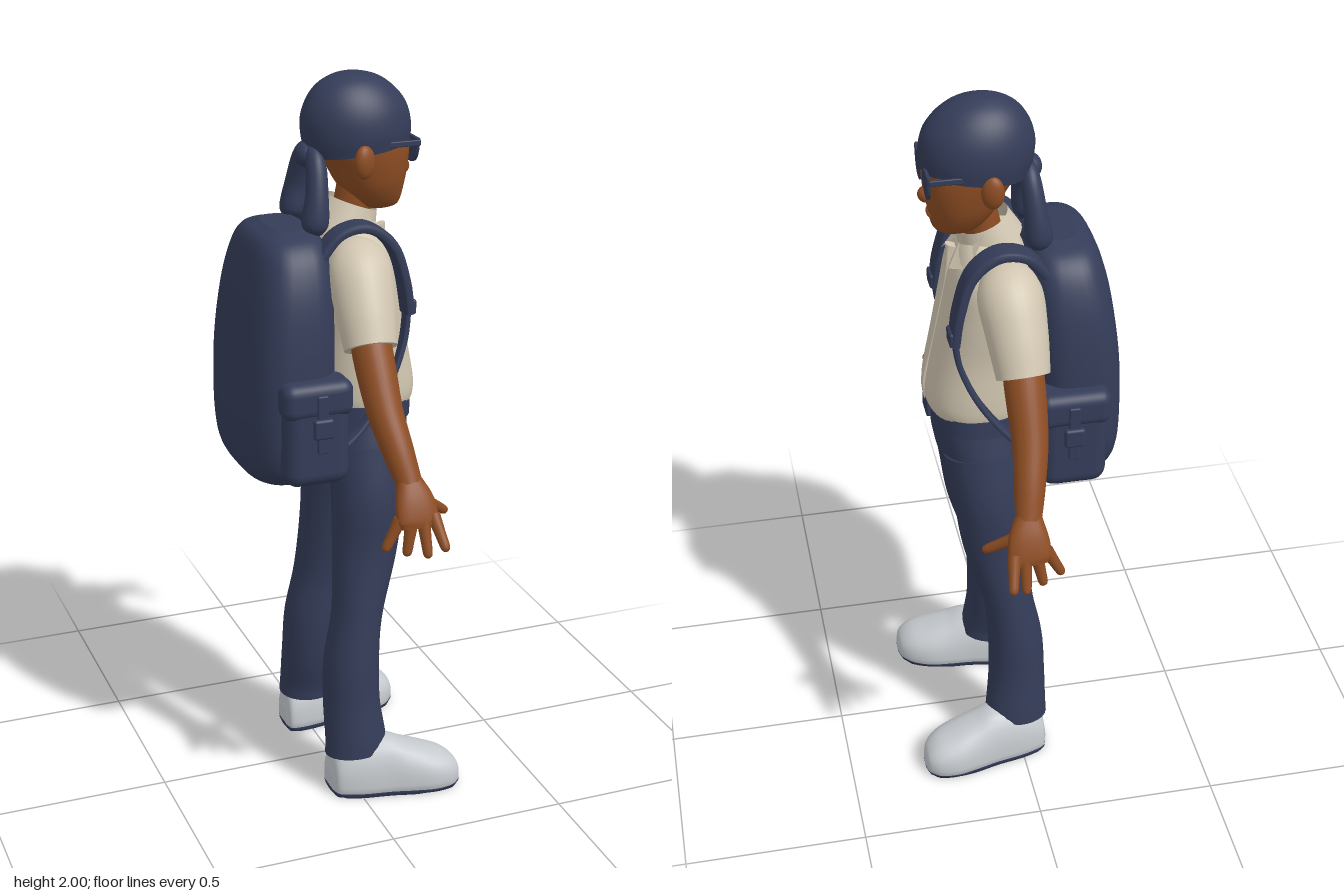
import * as THREE from 'three';
import { RoundedBoxGeometry } from 'three/addons/geometries/RoundedBoxGeometry.js';

const paint = (name, color, side = THREE.FrontSide) => {
  const m = new THREE.MeshStandardMaterial({ color, side });
  m.name = name;
  return m;
};
const X = new THREE.Vector3(1, 0, 0), Y = new THREE.Vector3(0, 1, 0), Z = new THREE.Vector3(0, 0, 1);

// Smooth body through sections [x, y, z, a, b]; a runs along ref, b across it.
// dir fixes the ring direction, pow squares the rings, lo and hi flatten in y.
function loft(rows, { ref = X, dir = null, pow = 2, n = 28, sub = 6, lo = -9, hi = 9 } = {}) {
  const path = new THREE.CatmullRomCurve3(rows.map(r => new THREE.Vector3(r[0], r[1], r[2])), false, 'catmullrom');
  const size = new THREE.CatmullRomCurve3(rows.map(r => new THREE.Vector3(r[3], r[4], 0)), false, 'catmullrom');
  const pos = [], idx = [], steps = (rows.length - 1) * sub;
  const bend = v => Math.sign(v) * Math.pow(Math.abs(v), 2 / pow);
  for (let i = 0; i <= steps; i++) {
    const t = i / steps, c = path.getPoint(t), r = size.getPoint(t);
    const T = dir || path.getTangent(t);
    const A = ref.clone().addScaledVector(T, -ref.dot(T)).normalize();
    const B = new THREE.Vector3().crossVectors(T, A);
    for (let j = 0; j < n; j++) {
      const q = (j / n) * Math.PI * 2;
      const p = c.clone().addScaledVector(A, bend(Math.cos(q)) * Math.max(r.x, 0.001))
        .addScaledVector(B, bend(Math.sin(q)) * Math.max(r.y, 0.001));
      pos.push(p.x, Math.min(hi, Math.max(lo, p.y)), p.z);
      if (i < steps) {
        const a = i * n + j, b = i * n + (j + 1) % n;
        idx.push(a, b, b + n, a, b + n, a + n);
      }
    }
  }
  // flat end caps with their own corners
  for (const end of [0, steps]) {
    const base = pos.length / 3, from = end * n * 3;
    pos.push(...pos.slice(from, from + n * 3));
    for (let j = 1; j < n - 1; j++) idx.push(base, ...(end ? [base + j, base + j + 1] : [base + j + 1, base + j]));
  }
  const g = new THREE.BufferGeometry();
  g.setAttribute('position', new THREE.Float32BufferAttribute(pos, 3));
  g.setIndex(idx);
  g.computeVertexNormals();
  return g;
}

// Sections stacked along y, given as [y, x, depth, width]
const stack = (rows, opt) => loft(rows.map(([y, x, a, b]) => [x, y, 0, a, b]), { dir: Y, n: 40, ...opt });

export function createModel() {
  const group = new THREE.Group();
  group.name = 'backpacker';
  const navy = paint('navy cloth', 0x343c58);
  const skin = paint('brown skin', 0x8d4d23);
  const cream = paint('cream shirt', 0xd0c5b0, THREE.DoubleSide);
  const white = paint('pale shoe', 0xc6cace);

  const add = (name, geo, mat, p = [0, 0, 0], rot = [0, 0, 0], scale = [1, 1, 1]) => {
    const m = new THREE.Mesh(geo, mat);
    m.name = name;
    m.position.set(...p);
    m.rotation.set(...rot);
    m.scale.set(...scale);
    group.add(m);
    return m;
  };
  const ball = new THREE.SphereGeometry(1, 24, 16);
  const box = (x, y, z, r = 0.01) => new RoundedBoxGeometry(x, y, z, 3, r);

  // Head, neck and cap
  add('head', stack([[1.635, 0.14, 0.03, 0.03], [1.65, 0.13, 0.062, 0.062], [1.7, 0.115, 0.088, 0.093],
    [1.76, 0.103, 0.11, 0.108], [1.82, 0.085, 0.132, 0.112], [1.88, 0.08, 0.125, 0.1]], { pow: 2.2 }), skin);
  add('neck', loft([[0.045, 1.53, 0, 0.055, 0.055], [0.06, 1.62, 0, 0.05, 0.05], [0.085, 1.72, 0, 0.055, 0.055]]), skin);
  add('nose', ball, skin, [0.205, 1.737, 0], [0, 0, 0], [0.022, 0.022, 0.021]);
  add('lips', ball, skin, [0.193, 1.685, 0], [0, 0, 0], [0.013, 0.011, 0.032]);
  add('cap', stack([[-0.025, 0, 0.142, 0.116], [0.02, 0, 0.148, 0.121], [0.07, -0.002, 0.143, 0.115],
    [0.115, -0.006, 0.12, 0.096], [0.15, -0.01, 0.085, 0.066], [0.17, -0.014, 0.04, 0.03], [0.174, -0.014, 0.005, 0.005]]),
  navy, [0.078, 1.827, 0], [0, 0, 0.12]);
  add('capKnot', ball, navy, [-0.062, 1.79, 0], [0, 0, 0], [0.032, 0.034, 0.04]);

  // Shirt
  add('shirt', stack([[1.1, 0.085, 0.122, 0.153], [1.13, 0.085, 0.138, 0.165], [1.18, 0.083, 0.14, 0.168],
    [1.3, 0.07, 0.13, 0.165], [1.42, 0.055, 0.12, 0.175], [1.52, 0.048, 0.107, 0.17],
    [1.58, 0.045, 0.088, 0.125], [1.62, 0.045, 0.065, 0.07]], { pow: 2.4 }), cream);
  add('collar', new THREE.CylinderGeometry(0.072, 0.088, 0.065, 28, 1, true), cream, [0.052, 1.625, 0], [0, 0, -0.35]);
  add('buttonBand', loft([[0.13, 1.58, 0, 0.03, 0.014], [0.157, 1.5, 0, 0.006, 0.014], [0.176, 1.4, 0, 0.006, 0.014],
    [0.201, 1.28, 0, 0.006, 0.014], [0.223, 1.18, 0, 0.006, 0.014], [0.219, 1.12, 0, 0.006, 0.014]], { n: 12, pow: 4 }), cream);

  // Trousers and belt
  add('hips', stack([[1.12, 0.082, 0.122, 0.158], [1.06, 0.082, 0.124, 0.175], [0.99, 0.077, 0.122, 0.192],
    [0.93, 0.07, 0.112, 0.19], [0.89, 0.068, 0.085, 0.13], [0.87, 0.068, 0.04, 0.06]].reverse(), { pow: 2.3 }), navy);
  add('belt', stack([[1.078, 0.082, 0.131, 0.173], [1.128, 0.083, 0.132, 0.169]], { pow: 2.4 }), navy);
  add('beltBuckle', box(0.016, 0.056, 0.07, 0.007), navy, [0.216, 1.103, 0]);

  // Backpack
  add('backpack', stack([[0.935, -0.15, 0.07, 0.14], [0.96, -0.16, 0.11, 0.2], [1.05, -0.165, 0.125, 0.238],
    [1.25, -0.16, 0.128, 0.245], [1.42, -0.15, 0.118, 0.232], [1.53, -0.14, 0.105, 0.2],
    [1.59, -0.135, 0.085, 0.155], [1.615, -0.13, 0.05, 0.09]], { pow: 3 }), navy);
  add('carryLoop', new THREE.TorusGeometry(0.04, 0.009, 8, 20, Math.PI), navy, [-0.065, 1.59, 0], [0, Math.PI / 2, 0]);

  for (const s of [1, -1]) {
    const side = s > 0 ? 'right' : 'left';
    const part = (name, ...rest) => add(side + name, ...rest);
    const flip = rows => rows.map(([x, y, z, a, b]) => [x, y, z * s, a, b ?? a]);
    const limb = (rows, opt) => loft(flip(rows), opt);

    // Ear, glasses and cap tail
    part('Ear', ball, skin, [0.055, 1.785, 0.116 * s], [0, 0.3 * s, 0], [0.03, 0.045, 0.02]);
    const lens = new THREE.Shape();
    lens.moveTo(-0.046, 0.034).lineTo(0.046, 0.034).quadraticCurveTo(0.05, -0.034, 0.012, -0.036)
      .quadraticCurveTo(-0.04, -0.04, -0.046, 0.034);
    part('Lens', new THREE.ExtrudeGeometry(lens, { depth: 0.008, bevelEnabled: false, curveSegments: 10 }), navy,
      [0.208, 1.797, 0.054 * s], [0, Math.PI / 2, 0]);
    part('GlassesArm', box(0.16, 0.016, 0.008, 0.003), navy, [0.134, 1.822, 0.107 * s]);
    part('CapTail', limb([[-0.055, 1.81, 0.01, 0.015, 0.02], [-0.055, 1.775, 0.05, 0.026, 0.03],
      [-0.062, 1.7, 0.078, 0.03, 0.032], [-0.07, 1.63, 0.085, 0.036, 0.036], [-0.073, 1.6, 0.085, 0.022, 0.02]]), navy);

    // Collar flap
    const flap = new THREE.BufferGeometry();
    const corners = [[0.12, 1.605, 0.012], [0.07, 1.645, 0.075], [0.115, 1.565, 0.105], [0.16, 1.545, 0.055]];
    flap.setAttribute('position', new THREE.Float32BufferAttribute(corners.flatMap(([x, y, z]) => [x, y, z * s]), 3));
    flap.setIndex(s > 0 ? [0, 2, 1, 0, 3, 2] : [0, 1, 2, 0, 2, 3]);
    flap.computeVertexNormals();
    part('CollarFlap', flap, cream);

    // Sleeve, arm and hand
    part('Sleeve', limb([[0.025, 1.545, 0.1, 0.06, 0.055], [0.022, 1.515, 0.165, 0.085, 0.078],
      [0.015, 1.43, 0.227, 0.08, 0.077], [0.01, 1.34, 0.28, 0.07, 0.068]]), cream);
    part('Arm', limb([[0.012, 1.42, 0.235, 0.052], [0.01, 1.31, 0.305, 0.053], [0.012, 1.2, 0.375, 0.047],
      [0.025, 1.11, 0.435, 0.041], [0.038, 1.035, 0.483, 0.034, 0.03]]), skin);
    part('Palm', limb([[0.036, 1.05, 0.473, 0.032, 0.028], [0.042, 1.0, 0.505, 0.052, 0.027],
      [0.043, 0.955, 0.528, 0.056, 0.022], [0.042, 0.935, 0.537, 0.045, 0.014]], { pow: 2.4 }), skin);
    // base and tip of each finger
    const fingers = [[-0.002, 0.96, 0.518, -0.045, 0.878, 0.52], [0.026, 0.955, 0.528, 0.008, 0.865, 0.54],
      [0.056, 0.955, 0.532, 0.058, 0.862, 0.565], [0.084, 0.965, 0.53, 0.098, 0.885, 0.59],
      [0.065, 1.0, 0.5, 0.152, 0.935, 0.456]];
    fingers.forEach(([x, y, z, u, v, w], i) => {
      const at = (t, r) => [x + (u - x) * t, y + (v - y) * t, z + (w - z) * t, r];
      part(i < 4 ? 'Finger' + (i + 1) : 'Thumb',
        limb([at(0, 0.018), at(0.5, 0.0145), at(0.9, 0.012), at(1, 0.004)], { n: 12, sub: 4, ref: i < 4 ? X : Y }), skin);
    });

    // Trouser leg
    part('Leg', limb([[0.078, 1.0, 0.095, 0.112, 0.095], [0.068, 0.85, 0.118, 0.1, 0.1], [0.055, 0.7, 0.13, 0.09, 0.086],
      [0.025, 0.52, 0.153, 0.07, 0.078], [0.006, 0.38, 0.162, 0.077, 0.084], [0.003, 0.26, 0.172, 0.08, 0.082],
      [0.008, 0.16, 0.19, 0.086, 0.077], [0.01, 0.115, 0.194, 0.09, 0.077]].reverse()), navy);

    // Shoe and sole, given as [x, top, half width]
    const shoe = [[-0.072, 0.06, 0.04], [-0.058, 0.12, 0.062], [0, 0.155, 0.074], [0.08, 0.162, 0.076], [0.14, 0.138, 0.082],
      [0.2, 0.115, 0.085], [0.25, 0.095, 0.072], [0.28, 0.07, 0.048], [0.29, 0.045, 0.02]]
      .map(([x, top, w]) => [x, 0.03, 0.195 + (x + 0.07) * 0.17, top - 0.03, w]);
    part('Shoe', limb(shoe, { ref: Y, dir: X, pow: 2.4, lo: 0.012 }), white);
    part('Sole', limb(shoe, { ref: Y, dir: X, pow: 2.4, lo: 0, hi: 0.0125 }), navy);

    // Shoulder strap, its lower webbing and buckle
    part('ShoulderStrap', limb([[-0.08, 1.55, 0.135, 0.034, 0.013], [-0.025, 1.61, 0.137, 0.034, 0.013],
      [0.05, 1.622, 0.14, 0.035, 0.014], [0.118, 1.57, 0.143, 0.036, 0.014], [0.152, 1.47, 0.147, 0.036, 0.014],
      [0.165, 1.38, 0.15, 0.032, 0.013]], { ref: Z, pow: 4, n: 20 }), navy);
    part('StrapWebbing', limb([[0.165, 1.4, 0.15, 0.018, 0.008], [0.15, 1.3, 0.157, 0.018, 0.008],
      [0.1, 1.19, 0.175, 0.018, 0.008], [0.02, 1.09, 0.197, 0.018, 0.008], [-0.06, 1.03, 0.21, 0.018, 0.008]],
    { ref: Z, pow: 4, n: 16 }), navy);
    part('StrapBuckle', box(0.022, 0.04, 0.056, 0.006), navy, [0.17, 1.4, 0.15 * s]);

    // Side pocket with flap, strap and buckle
    part('Pocket', box(0.18, 0.27, 0.1, 0.04), navy, [-0.13, 1.105, 0.235 * s]);
    part('PocketFlap', box(0.195, 0.1, 0.11, 0.03), navy, [-0.13, 1.21, 0.235 * s]);
    part('PocketStrap', box(0.03, 0.16, 0.012, 0.004), navy, [-0.125, 1.15, 0.29 * s]);
    part('PocketBuckle', box(0.055, 0.055, 0.02, 0.008), navy, [-0.125, 1.14, 0.295 * s]);
  }
  return group;
}
